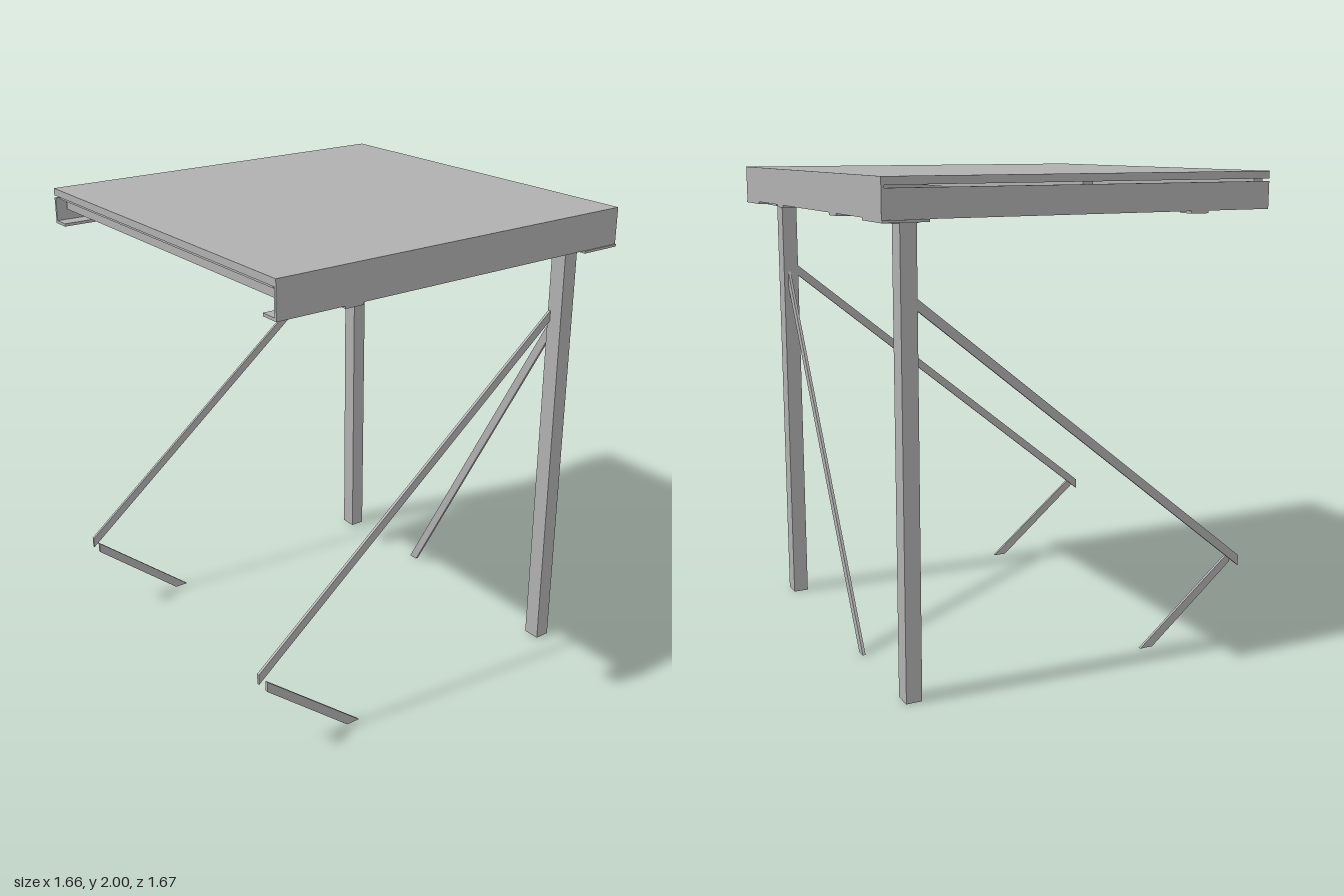
import * as THREE from 'three';

const steel = new THREE.MeshStandardMaterial({ color: 0xb0b0b0 });
steel.name = 'steel grey';

export function createModel() {
  const model = new THREE.Group();
  model.name = 'shelter frame';

  const add = (name, geometry) => {
    const mesh = new THREE.Mesh(geometry, steel);
    mesh.name = name;
    model.add(mesh);
    return mesh;
  };
  // Box given by its limits on each axis
  const box = (name, x0, x1, y0, y1, z0, z1) =>
    add(name, new THREE.BoxGeometry(x1 - x0, y1 - y0, z1 - z0))
      .position.set((x0 + x1) / 2, (y0 + y1) / 2, (z0 + z1) / 2);
  // Flat bar cut from a polygon
  const bar = (name, points, depth = 0.012) => {
    const shape = new THREE.Shape(points.map(([x, y]) => new THREE.Vector2(x, y)));
    return add(name, new THREE.ExtrudeGeometry(shape, { depth, bevelEnabled: false }));
  };

  const E = 0.83, T = 0.012, F = 0.08;

  // Roof deck
  box('deck', -E, E - T, 1.97, 2, -E, E - T);

  // Edge beams: a web with a flange turned inward at the bottom
  box('frontBeamWeb', -E, E, 1.85, 2, E - T, E);
  box('frontBeamFlange', -E, E - T, 1.85, 1.862, E - F, E - T);
  box('rightBeamWeb', E - T, E, 1.85, 2, -E, E - T);
  box('rightBeamFlange', E - F, E - T, 1.85, 1.862, -E + F, E - F);
  box('backBeamWeb', -E, E - T, 1.85, 1.96, -E, -E + T);
  box('backBeamFlange', -E, E - T, 1.85, 1.862, -E + T, -E + F);

  // Joists under the deck
  for (const x of [0, -0.79]) {
    box('joistWeb', x, x + T, 1.91, 1.97, -0.8, 0.8);
    box('joistFlange', x - 0.03, x, 1.958, 1.97, -0.8, 0.8);
  }

  // Small splice plates under the beams
  for (const s of [-1, 1]) {
    const z = s * (E - F / 2);
    box('beamClip', -0.54, -0.46, 1.84, 1.85, z - 0.04, z + 0.04);
    box('sideClip', E - F, E, 1.84, 1.85, s * 0.33 - 0.04, s * 0.33 + 0.04);
  }

  // Hollow square posts with corner plates
  const section = new THREE.Shape();
  section.moveTo(-0.033, -0.037).lineTo(0.033, -0.037).lineTo(0.033, 0.037).lineTo(-0.033, 0.037);
  const bore = new THREE.Path();
  bore.moveTo(-0.025, -0.029).lineTo(-0.025, 0.029).lineTo(0.025, 0.029).lineTo(0.025, -0.029);
  section.holes.push(bore);
  const postGeometry = new THREE.ExtrudeGeometry(section, { depth: 1.84, bevelEnabled: false });
  postGeometry.rotateX(-Math.PI / 2);
  for (const s of [-1, 1]) {
    add('post', postGeometry).position.set(0.688, 0, s * 0.692);
    box('cornerPlate', 0.65, E, 1.84, 1.85, s * 0.74 - 0.095, s * 0.74 + 0.095);
    const z = s > 0 ? 0.712 : -0.662;
    box('postCap', 0.648, 0.75, 1.83, 1.84, z - 0.068, z + 0.068);
  }

  // Long side braces and the feet they end on
  const brace = [[0.657, 1.515], [0.657, 1.56], [-E, 0.368], [-E, 0.323]];
  const foot = [[-E, 0.323], [-0.44, 0], [-0.38, 0], [-E, 0.368]];
  for (const [braceZ, footZ] of [[0.657, 0.715], [-0.727, -0.668]]) {
    bar('sideBrace', brace).position.z = braceZ;
    bar('braceFoot', foot).position.z = footZ;
  }

  // Brace running back from the front post
  const backBrace = bar('backBrace', [[-0.657, 1.535], [-0.657, 1.46], [0.168, 0], [0.212, 0]]);
  backBrace.rotation.y = Math.PI / 2;
  backBrace.position.x = 0.69;

  return model;
}
